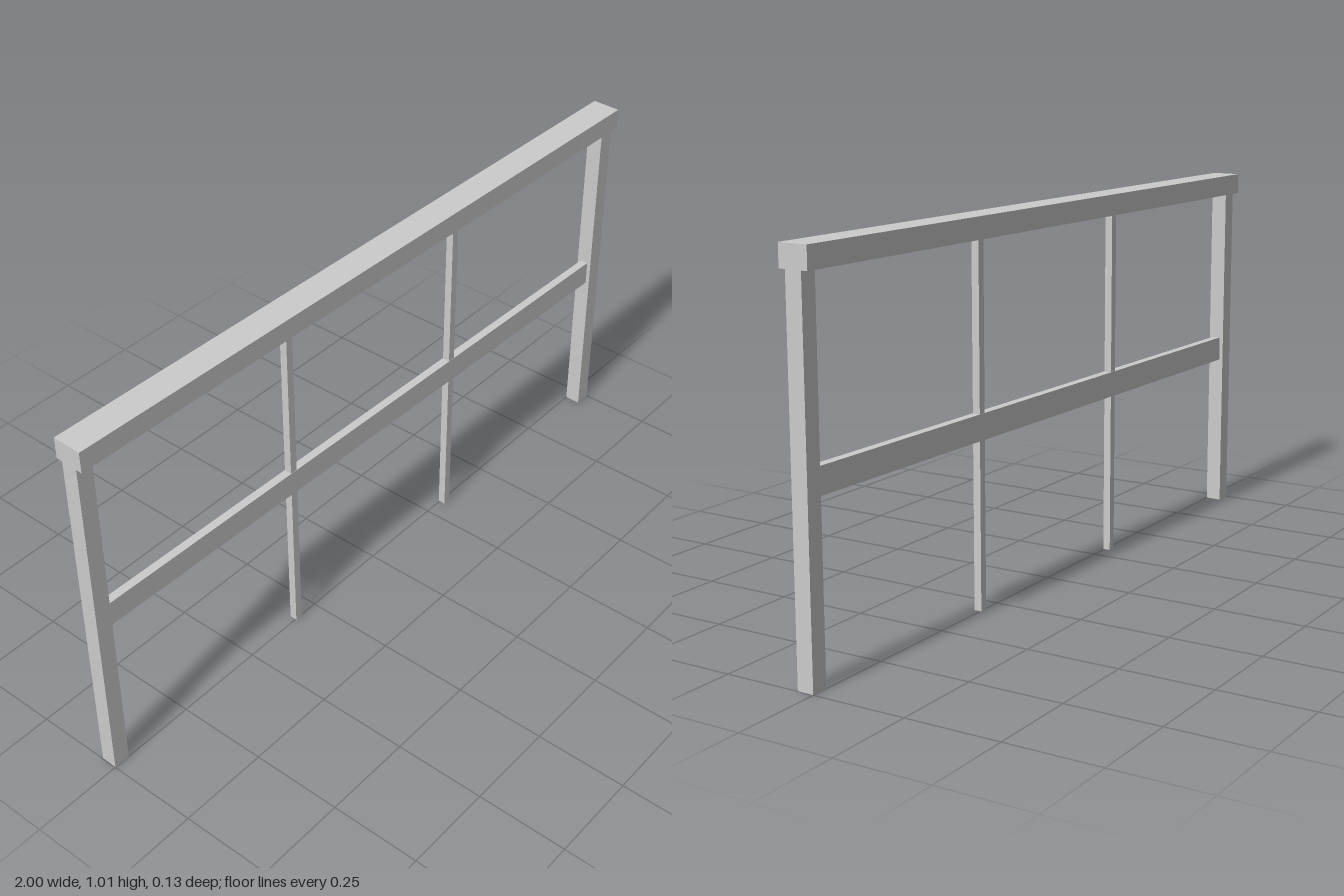
import * as THREE from 'three';

export function createModel() {
  const model = new THREE.Group();
  model.name = 'railing';
  const material = new THREE.MeshStandardMaterial({ color: 0xcccccc, flatShading: true });

  // Box spanning yMin..yMax, centred on x and z = 0
  function bar(name, x, yMin, yMax, width, depth) {
    const mesh = new THREE.Mesh(new THREE.BoxGeometry(width, yMax - yMin, depth), material);
    mesh.name = name;
    mesh.position.set(x, (yMin + yMax) / 2, 0);
    model.add(mesh);
  }

  const railLength = 1.998, railBottom = 0.955, postSize = 0.045;
  const postX = (railLength - postSize) / 2;

  // Horizontal rails
  bar('handrail', 0, railBottom, 1.012, railLength, 0.08);
  bar('middleRail', 0, 0.445, 0.514, railLength - 2 * postSize, 0.023);

  // Mirrored end posts and slim balusters
  for (const [side, label] of [[1, 'left'], [-1, 'right']]) {
    bar(label + 'Post', side * postX, 0, railBottom, postSize, postSize);
    bar(label + 'Baluster', side * 0.317, 0, railBottom, 0.021, 0.021);
  }

  // The whole railing runs slightly askew
  model.rotation.y = -0.023;
  const group = new THREE.Group();
  group.add(model);
  return group;
}
